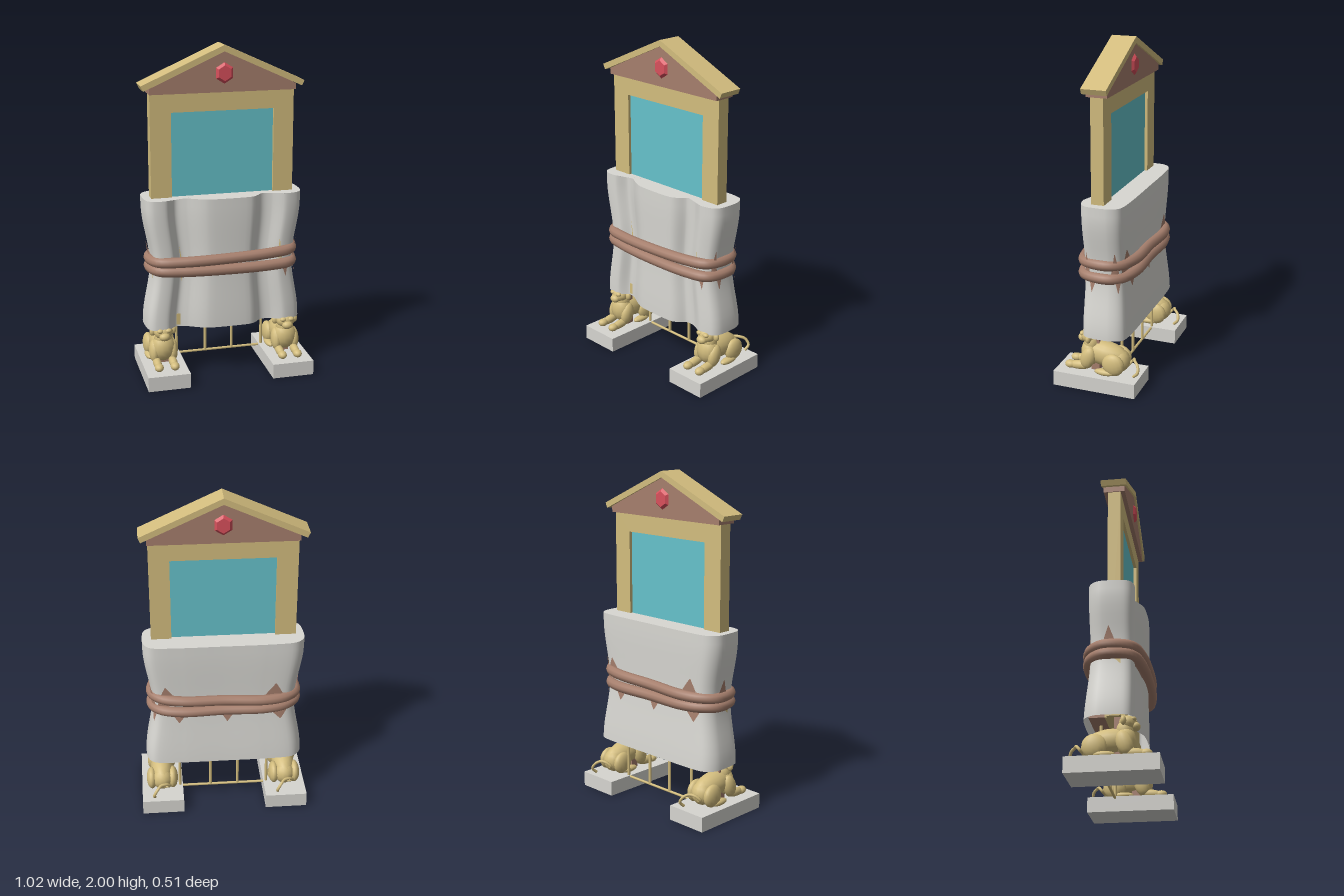
import * as THREE from 'three';
import { ParametricGeometry } from 'three/addons/geometries/ParametricGeometry.js';

const mat = (name, color, side = THREE.FrontSide) => {
  const m = new THREE.MeshStandardMaterial({ color, side });
  m.name = name;
  return m;
};
const V = (x, y, z) => new THREE.Vector3(x, y, z);

export function createModel() {
  const gold = mat('gold', 0xd3bd7e);
  const goldPatch = mat('goldPatch', 0xd3bd7e, THREE.DoubleSide);
  const stone = mat('stone', 0xd6d5d0);
  const linen = mat('linen', 0xd8d7d2, THREE.DoubleSide);
  const brown = mat('brown', 0xa67f6d, THREE.DoubleSide);
  const glass = mat('glass', 0x66c2cb);
  const red = mat('red', 0xd8505c);
  red.flatShading = true;

  const root = new THREE.Group();
  const add = (name, geo, m, x = 0, y = 0, z = 0, parent = root) => {
    const mesh = new THREE.Mesh(geo, m);
    mesh.name = name;
    mesh.position.set(x, y, z);
    parent.add(mesh);
    return mesh;
  };
  const box = (name, m, x0, x1, y0, y1, z0, z1) =>
    add(name, new THREE.BoxGeometry(x1 - x0, y1 - y0, z1 - z0), m, (x0 + x1) / 2, (y0 + y1) / 2, (z0 + z1) / 2);
  const poly = pts => new THREE.Shape(pts.map(p => new THREE.Vector2(...p)));
  const slab = (name, shape, depth, m) =>
    add(name, new THREE.ExtrudeGeometry(shape, { depth, bevelEnabled: false }), m, 0, 0, -depth / 2);
  const tube = (pts, r, closed = false, seg = 24, sides = 8) =>
    new THREE.TubeGeometry(new THREE.CatmullRomCurve3(pts, closed), seg, r, sides, closed);

  // Mirror frame, open where the pane sits
  const frame = poly([[-0.435, 0.33], [0.42, 0.33], [0.42, 1.74], [-0.435, 1.74]]);
  frame.holes.push(poly([[-0.312, 0.5], [-0.312, 1.62], [0.3, 1.62], [0.3, 0.5]]));
  slab('mirrorFrame', frame, 0.076, gold);
  box('mirrorPane', glass, -0.32, 0.31, 0.49, 1.63, -0.02, 0.02);
  box('lowerRail', gold, -0.41, 0.4, 0.33, 0.4, -0.05, 0.06);
  box('backBoard', brown, -0.4, 0.39, 0.335, 0.4, -0.14, -0.05);

  // Gable roof, pediment and a gem on both faces
  slab('pediment', poly([[-0.44, 1.73], [0.425, 1.73], [0.425, 1.765], [-0.005, 1.968], [-0.44, 1.765]]), 0.125, brown);
  slab('roof', poly([[-0.005, 2], [-0.49, 1.783], [-0.475, 1.752], [-0.005, 1.963],
    [0.458, 1.752], [0.472, 1.783]]), 0.148, gold);
  for (const s of [1, -1]) {
    const gem = new THREE.CylinderGeometry(0.045, 0.07, 0.022, 6);
    gem.rotateX(Math.PI / 2).rotateZ(Math.PI).scale(0.93, 1, 1);
    if (s < 0) gem.rotateY(Math.PI);
    add('gem', gem, red, -0.003, 1.84, s * 0.066);
  }

  // Draped cloth: one folded outline, pinched at the ropes
  const outline = [[-0.475, 0.06], [-0.44, 0.105], [-0.36, 0.11], [-0.3, 0.062], [-0.24, 0.075], [-0.11, 0.135],
    [0.14, 0.135], [0.22, 0.075], [0.28, 0.075], [0.36, 0.11], [0.44, 0.09], [0.47, 0.04], [0.47, -0.08],
    [0.42, -0.143], [0.25, -0.155], [0, -0.155], [-0.25, -0.155], [-0.42, -0.143], [-0.48, -0.08]];
  const N = outline.length;
  const section = new THREE.CatmullRomCurve3(outline.map(([x, z]) => V(x, 0, z)), true, 'catmullrom', 0.4);
  const clothPoint = (u, y, out, grow = 1) => {
    section.getPoint(((u % 1) + 1) % 1, out);
    const low = Math.max(0, (0.7 - y) / 0.38);
    const d = Math.min(1, Math.abs(y - 0.7) / 0.37);
    const pinch = 1 - d * d * (3 - 2 * d);
    out.x *= (1 - 0.1 * pinch) * grow;
    out.z *= (1 - 0.06 * pinch) * (out.z < 0 ? 1 + 0.13 * low : 1 - 0.04 * low) * grow;
    out.y = y;
  };
  add('cloth', new ParametricGeometry((u, v, t) => clothPoint(u, 0.32 + 0.8 * v, t), 114, 16), linen);
  add('clothTop', new ParametricGeometry((u, v, t) => {
    clothPoint(u, 1.12, t);
    t.x *= 1 - v * 0.999;
    t.z *= 1 - v * 0.999;
  }, 114, 2), linen);

  // Pointed tears in the cloth: outline position, half width, base height, tip height
  const tear = (m, at, half, y0, y1) => add('tear', new ParametricGeometry((u, v, t) =>
    clothPoint((at + (u * 2 - 1) * half * (1 - v * 0.98)) / N, y0 + (y1 - y0) * v, t, 1.025), 8, 4), m);
  tear(goldPatch, 3.1, 0.3, 0.7, 0.85);
  tear(goldPatch, 3.3, 0.25, 0.7, 0.61);
  tear(goldPatch, 8.7, 0.45, 0.72, 0.87);
  tear(goldPatch, 8.1, 0.3, 0.7, 0.61);
  for (const [at, half] of [[10.6, 0.3], [12.4, 0.3], [13.4, 0.5], [16.4, 0.5], [18.4, 0.3]]) tear(brown, at, half, 0.72, 0.85);
  for (const [at, half] of [[9.4, 0.3], [11.1, 0.3], [12.6, 0.3], [13.8, 0.4], [15.1, 0.3], [16.6, 0.5]]) tear(brown, at, half, 0.7, 0.6);

  // Two ropes tied round the cloth
  const loop = [[0, 0.145], [0.27, 0.13], [0.39, 0.095], [0.425, 0.02], [0.425, -0.07], [0.37, -0.135], [0.25, -0.168],
    [0, -0.163], [-0.25, -0.168], [-0.37, -0.135], [-0.435, -0.07], [-0.44, 0.02], [-0.4, 0.095], [-0.27, 0.13]];
  for (const [y, tilt] of [[0.755, 0.03], [0.688, -0.005]])
    add('rope', tube(loop.map(([x, z]) => V(x, y + tilt * x, z)), 0.032, true, 96, 10), brown);

  // Thin grille between the pedestals
  for (const x of [-0.272, -0.09, 0.08, 0.272])
    add('grilleBar', new THREE.CylinderGeometry(0.009, 0.009, 0.27, 8), gold, x, 0.215, -0.09);
  add('grilleRail', new THREE.CylinderGeometry(0.008, 0.008, 0.56, 8).rotateZ(Math.PI / 2), gold, 0, 0.082, -0.09);

  // Crouching beast with forward paws and a curled tail
  const beast = cx => {
    const g = new THREE.Group();
    g.name = 'guardianBeast';
    g.position.x = cx;
    root.add(g);
    const ball = (name, x, y, z, rx, ry, rz, tilt = 0) => {
      const b = add(name, new THREE.SphereGeometry(1, 14, 10), gold, x, y, z, g);
      b.scale.set(rx, ry, rz);
      b.rotation.x = tilt;
    };
    ball('body', 0, 0.195, -0.03, 0.07, 0.075, 0.145, -0.12);
    ball('chest', 0, 0.195, 0.06, 0.073, 0.085, 0.06);
    ball('neck', 0, 0.25, 0.055, 0.055, 0.07, 0.05);
    ball('head', 0, 0.298, 0.07, 0.058, 0.045, 0.05);
    ball('muzzle', 0, 0.28, 0.112, 0.033, 0.025, 0.028);
    ball('rump', 0, 0.165, -0.115, 0.065, 0.07, 0.065);
    for (const s of [-1, 1]) {
      ball('ear', s * 0.062, 0.298, 0.055, 0.02, 0.026, 0.016);
      ball('brow', s * 0.025, 0.315, 0.105, 0.02, 0.014, 0.016);
      ball('thigh', s * 0.065, 0.16, -0.1, 0.033, 0.068, 0.068, 0.3);
      ball('hindFoot', s * 0.07, 0.108, -0.05, 0.026, 0.02, 0.065);
      ball('shoulder', s * 0.056, 0.175, 0.06, 0.032, 0.07, 0.045, -0.3);
      ball('foreLeg', s * 0.048, 0.118, 0.115, 0.025, 0.027, 0.075, 0.1);
      ball('paw', s * 0.048, 0.114, 0.175, 0.027, 0.024, 0.034);
    }
    add('tail', tube([V(-0.01, 0.13, -0.16), V(-0.045, 0.15, -0.18), V(-0.025, 0.175, -0.2), V(0.01, 0.18, -0.215),
      V(0.035, 0.165, -0.24), V(0.055, 0.13, -0.247), V(0.05, 0.1, -0.22)], 0.009, false, 30, 7), gold, 0, 0, 0, g);
  };

  // Pedestals with a beast and a short support post on each
  for (const s of [-1, 1]) {
    box('pedestal', stone, s * 0.3825 - 0.1275, s * 0.3825 + 0.1275, 0, 0.09, -0.253, 0.253);
    box('supportPost', brown, s * 0.375 - 0.035, s * 0.375 + 0.035, 0.09, 0.34, 0.0, 0.05);
    beast(s * 0.383);
  }
  return root;
}
